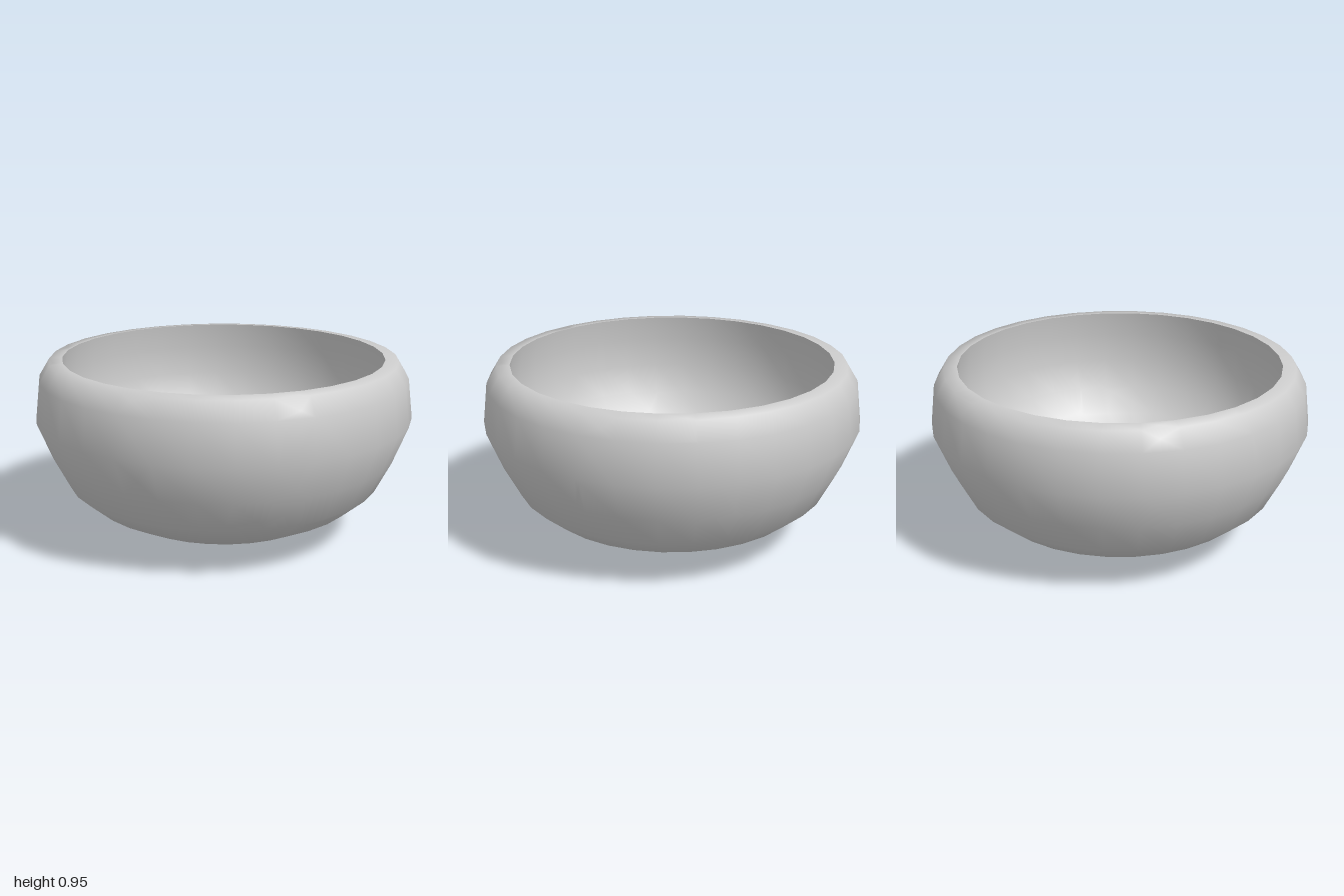
import * as THREE from 'three';

// Radius / height profiles, 32 sides round
const OUTER = [[0, 0.005], [0.2, 0.01], [0.38, 0.04], [0.55, 0.1], [0.71, 0.18], [0.835, 0.285],
  [0.92, 0.45], [1, 0.65], [0.975, 0.86], [0.92, 0.95], [0.85, 0.957]];
const INNER = [[0.85, 0.957], [0.872, 0.82], [0.868, 0.66], [0.83, 0.5], [0.74, 0.36],
  [0.6, 0.24], [0.4, 0.155], [0.2, 0.115], [0, 0.105]];

// One point inside each shard; the cracks run midway between neighbours
const SEEDS = [
  [0.2, 0.3, -0.05], [-0.4, 0.3, -0.09], [0.01, 0.3, -0.39], [-0.15, 0.3, 0.48],
  [0.37, 0.3, 0.32], [0.66, 0.35, -0.07], [-0.4, 0.45, -0.57], [-0.7, 0.4, -0.09],
  [-0.25, 0.65, 0.75], [0.5, 0.65, 0.75], [-0.75, 0.6, 0.4], [0.65, 0.65, -0.65],
].map((s) => new THREE.Vector3(...s));

// Cut a polygon of { p, n } corners by a plane, keeping the side below it
function clip(poly, plane) {
  const out = [];
  poly.forEach((a, i) => {
    const b = poly[(i + 1) % poly.length];
    const da = plane.distanceToPoint(a.p), db = plane.distanceToPoint(b.p);
    if (da <= 0) out.push(a);
    if ((da < 0 && db > 0) || (da > 0 && db < 0)) {
      const t = da / (da - db);
      out.push({ p: a.p.clone().lerp(b.p, t), n: a.n.clone().lerp(b.n, t).normalize() });
    }
  });
  return out;
}

// Smooth-shaded triangles of a turned profile
function turned(profile) {
  const geo = new THREE.LatheGeometry(profile.map(([r, y]) => new THREE.Vector2(r, y)), 32).toNonIndexed();
  const { position, normal } = geo.attributes;
  const tris = [];
  for (let i = 0; i < position.count; i += 3) {
    tris.push([0, 1, 2].map((k) => ({
      p: new THREE.Vector3().fromBufferAttribute(position, i + k),
      n: new THREE.Vector3().fromBufferAttribute(normal, i + k),
    })));
  }
  return tris;
}

// The part of the bowl's skin nearest to one seed
function shardGeometry(tris, seed) {
  const planes = SEEDS.filter((s) => s !== seed).map((s) =>
    new THREE.Plane().setFromNormalAndCoplanarPoint(
      s.clone().sub(seed).normalize(), s.clone().add(seed).multiplyScalar(0.5)));
  const pos = [], nor = [];
  for (const tri of tris) {
    const poly = planes.reduce((shape, plane) => clip(shape, plane), tri);
    for (let i = 1; i + 1 < poly.length; i++) {
      for (const c of [poly[0], poly[i], poly[i + 1]]) {
        pos.push(...c.p.toArray());
        nor.push(...c.n.toArray());
      }
    }
  }
  const geo = new THREE.BufferGeometry();
  geo.setAttribute('position', new THREE.Float32BufferAttribute(pos, 3));
  geo.setAttribute('normal', new THREE.Float32BufferAttribute(nor, 3));
  return geo;
}

export function createModel() {
  const bowl = new THREE.Group();
  bowl.name = 'crackedBowl';
  const material = new THREE.MeshStandardMaterial({ color: 0xcccccc, side: THREE.DoubleSide });
  const tris = [...turned(OUTER), ...turned(INNER)];

  // Shards fitted tightly together
  SEEDS.forEach((seed, i) => {
    const shard = new THREE.Mesh(shardGeometry(tris, seed), material);
    shard.name = `bowlShard${i + 1}`;
    bowl.add(shard);
  });
  return bowl;
}
